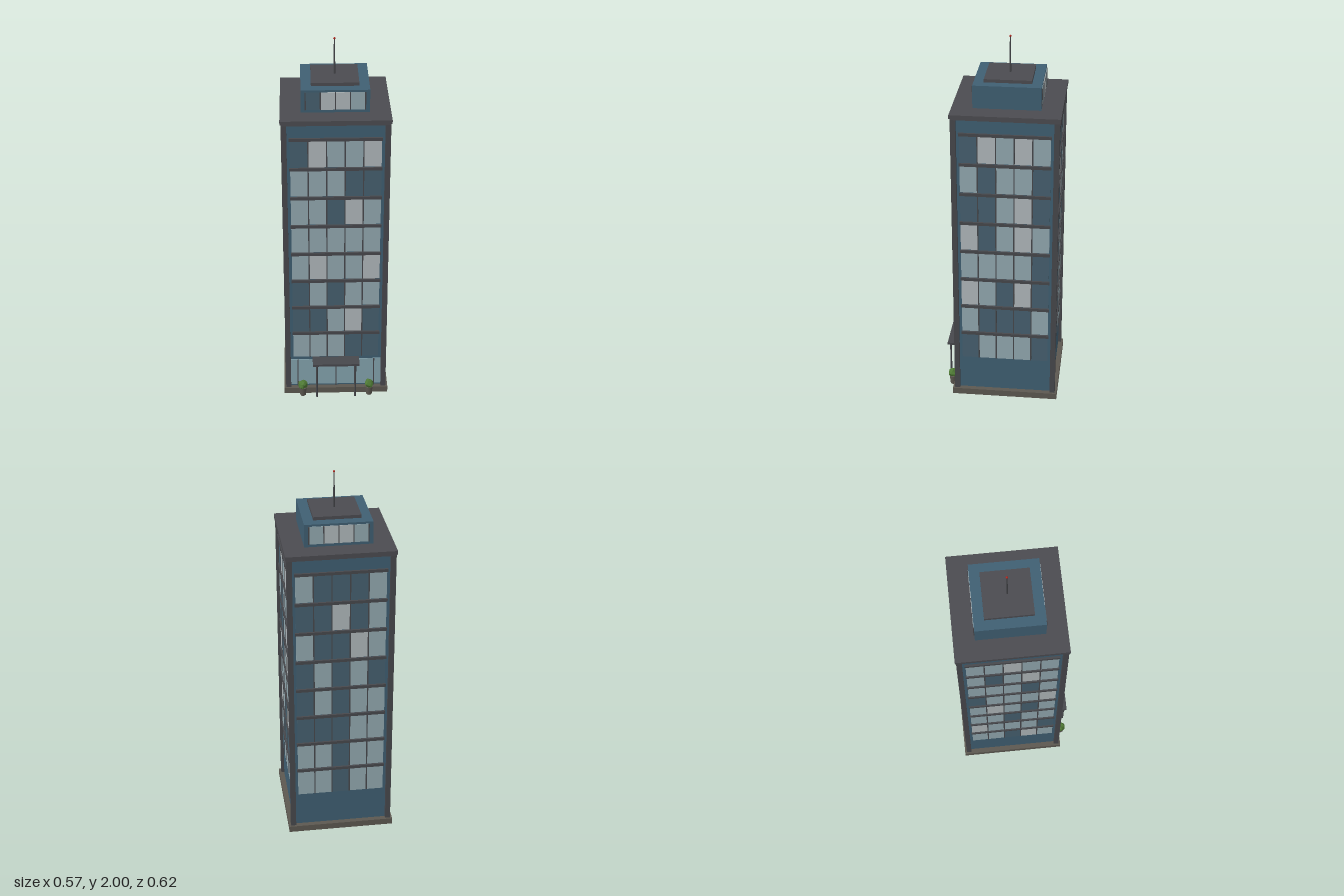
import * as THREE from 'three';

const mat = (color, flatShading = false) => new THREE.MeshStandardMaterial({ color, flatShading });
const M = {
  wall: mat(0x3f5f72), frame: mat(0x47484c), roof: mat(0x4b4b50), base: mat(0x5c5850),
  lobby: mat(0x84a3ae), leaf: mat(0x4f7a35, true), beacon: mat(0xb02a22),
  D: mat(0x46606f), M: mat(0x93a9b0), L: mat(0xb0b8bb),
};

function add(parent, name, geometry, material, x = 0, y = 0, z = 0) {
  const mesh = new THREE.Mesh(geometry, material);
  mesh.name = name;
  mesh.position.set(x, y, z);
  parent.add(mesh);
  return mesh;
}

// Box given by its width, depth and its bottom and top heights
function block(parent, name, material, w, d, y0, y1, x = 0, z = 0) {
  return add(parent, name, new THREE.BoxGeometry(w, y1 - y0, d), material, x, (y0 + y1) / 2, z);
}

// Pane tints per facade, top floor first: D dark, M mid, L light
const facades = {
  front: ['DLMML', 'MMMDD', 'MMDLM', 'MMMMM', 'MLMML', 'DMDMM', 'DDMLD', 'MMMDD'],
  right: ['DLMLM', 'MDMMD', 'DDMLD', 'LDMLM', 'MMMMD', 'LMDLD', 'MDDDM', 'DMMMD'],
  back: ['MDDDM', 'DDLDM', 'MDDLM', 'DMDMD', 'DMDMM', 'DDDMM', 'MMDMM', 'MMDMM'],
  left: ['MMLMM', 'MDMLM', 'MMMDM', 'DMMML', 'MLMDM', 'MMDMM', 'LMMMD', 'MMDLM'],
};

function makeFacade(name, rows) {
  const face = new THREE.Group();
  face.name = name + 'Facade';
  const pitch = 0.167, bay = 0.0945;
  rows.forEach((tints, r) => {
    const y0 = 1.4 - r * pitch;
    [...tints].forEach((t, c) =>
      block(face, 'windowPane', M[t], 0.088, 0.008, y0, y0 + 0.148, (c - 2) * bay, 0.26));
    // Mullions and the ledge above each floor
    for (let c = 0; c < 4; c++)
      block(face, 'mullion', M.frame, 0.0065, 0.012, y0, y0 + 0.148, (c - 1.5) * bay, 0.26);
    block(face, 'floorLedge', M.frame, 0.475, 0.022, y0 + 0.148, y0 + 0.164, 0, 0.26);
  });
  return face;
}

function makePlanter(x) {
  const planter = new THREE.Group();
  planter.name = 'planter';
  planter.position.set(x, 0, 0.275);
  add(planter, 'pot', new THREE.CylinderGeometry(0.021, 0.016, 0.05, 10), M.base, 0, 0.025, 0);
  // Shrub: faceted ball made uneven by a rule that depends on direction only
  const ball = new THREE.IcosahedronGeometry(0.025, 1);
  const p = ball.attributes.position, v = new THREE.Vector3();
  for (let i = 0; i < p.count; i++) {
    v.fromBufferAttribute(p, i);
    v.multiplyScalar(1 + 0.13 * Math.sin(v.x * 170 + v.y * 230 + v.z * 310 + x * 9));
    p.setXYZ(i, v.x, v.y, v.z);
  }
  ball.computeVertexNormals();
  add(planter, 'shrub', ball, M.leaf, 0, 0.068, 0);
  return planter;
}

export function createModel() {
  const model = new THREE.Group();
  model.name = 'officeTower';

  // Tower parts share one vertical axis, set back to leave room for the entrance
  const tower = new THREE.Group();
  tower.name = 'tower';
  tower.position.z = -0.025;
  model.add(tower);

  block(tower, 'plinth', M.base, 0.575, 0.575, 0, 0.035);
  block(tower, 'towerBody', M.wall, 0.52, 0.52, 0.035, 1.637);
  for (const x of [-1, 1]) for (const z of [-1, 1])
    block(tower, 'cornerColumn', M.frame, 0.028, 0.028, 0.035, 1.637, x * 0.263, z * 0.263);
  block(tower, 'roofSlab', M.roof, 0.555, 0.555, 1.637, 1.645);
  block(tower, 'roofEdge', M.roof, 0.565, 0.565, 1.645, 1.665);

  Object.entries(facades).forEach(([name, rows], i) => {
    const face = makeFacade(name, rows);
    face.rotation.y = i * Math.PI / 2;
    tower.add(face);
  });

  // Glazed lobby
  block(tower, 'lobbyGlass', M.lobby, 0.5, 0.008, 0.045, 0.212, 0, 0.26);
  for (let i = -2; i <= 2; i++)
    block(tower, 'lobbyMullion', M.frame, 0.006, 0.014, 0.035, 0.212, i * 0.105, 0.26);

  // Penthouse with windows front and back
  block(tower, 'penthouse', M.wall, 0.35, 0.35, 1.665, 1.786);
  ['DLLM', 'MLLM'].forEach((tints, i) => {
    const side = new THREE.Group();
    side.name = 'penthouseWindows';
    side.rotation.y = i * Math.PI;
    [...tints].forEach((t, c) =>
      block(side, 'penthousePane', M[t], 0.07, 0.006, 1.68, 1.775, (c - 1.5) * 0.076, 0.1745));
    for (let c = -2; c <= 2; c++)
      block(side, 'penthouseMullion', M.frame, 0.006, 0.01, 1.68, 1.775, c * 0.076, 0.1745);
    tower.add(side);
  });
  block(tower, 'penthouseCap', M.roof, 0.245, 0.245, 1.786, 1.803);

  // Antenna
  add(tower, 'antennaMast', new THREE.CylinderGeometry(0.003, 0.005, 0.19, 8), M.frame, 0, 1.898, 0);
  add(tower, 'beacon', new THREE.SphereGeometry(0.006, 8, 6), M.beacon, 0, 1.994, 0);

  // Entrance canopy on two posts
  block(model, 'canopy', M.frame, 0.256, 0.082, 0.213, 0.226, 0, 0.2715);
  for (const s of [-1, 1]) {
    add(model, 'canopyPost', new THREE.CylinderGeometry(0.005, 0.005, 0.213, 8), M.frame, s * 0.106, 0.1065, 0.297);
    model.add(makePlanter(s * 0.184));
  }
  return model;
}
